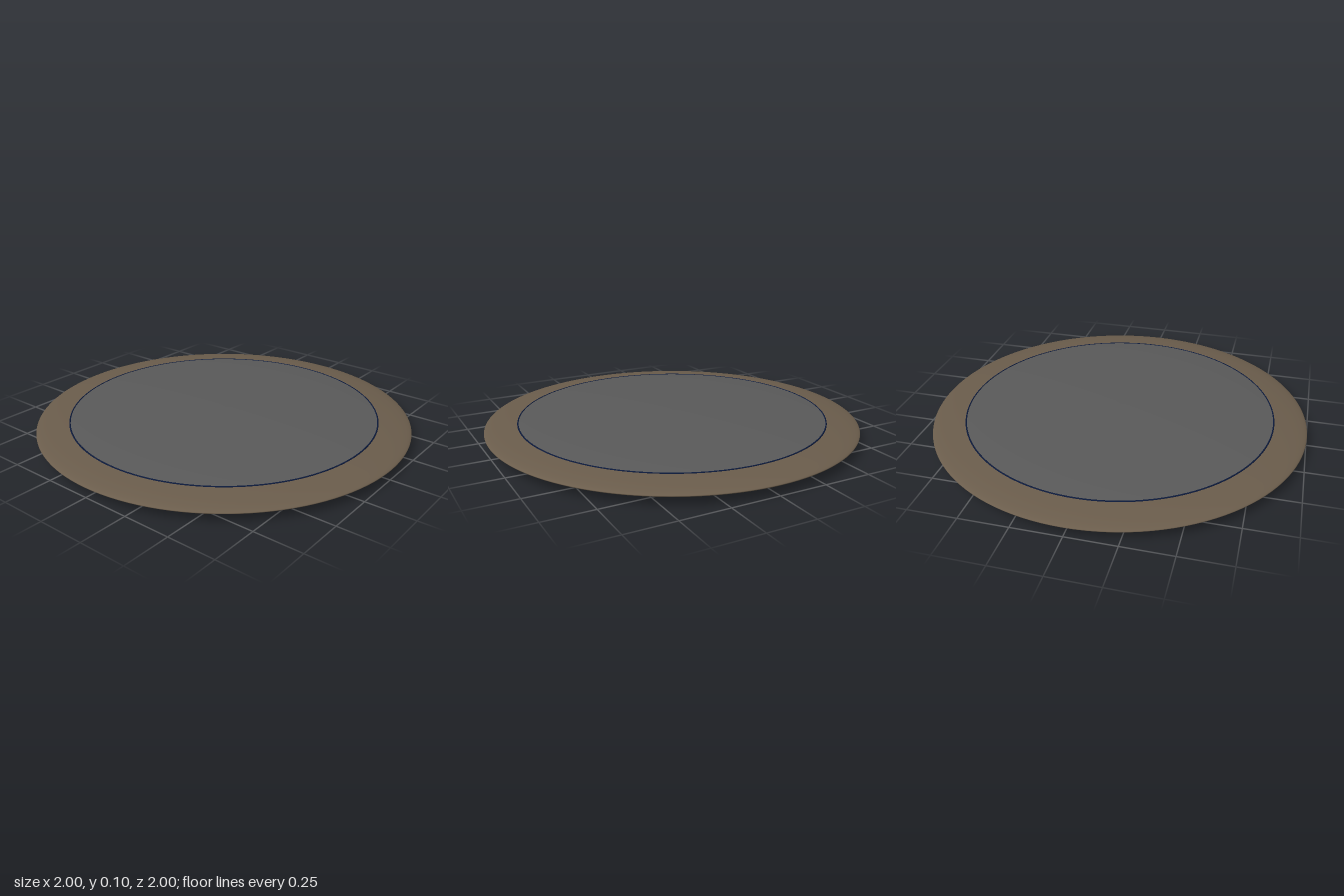
import * as THREE from 'three';

const MID = 0.052; // height of the sharp outer edge
const SEGMENTS = 128;

const mat = (color) => new THREE.MeshStandardMaterial({ color });
const rimMat = mat(0x6b5d4c);
const coverMat = mat(0x5a5a5a);
const seamMat = mat(0x0c1a3c);

// Lathed slice of a flattened ellipsoid between two elevation angles
function shell(name, halfHeight, from, to, steps, material) {
  const points = [];
  for (let i = 0; i <= steps; i++) {
    const a = from + (to - from) * (i / steps);
    points.push(new THREE.Vector2(Math.max(0, Math.cos(a)), MID + halfHeight * Math.sin(a)));
  }
  const mesh = new THREE.Mesh(new THREE.LatheGeometry(points, SEGMENTS), material);
  mesh.name = name;
  return mesh;
}

// Thin line where a cover meets the rim
function seam(name, angle, halfHeight) {
  const mesh = new THREE.Mesh(new THREE.TorusGeometry(Math.cos(angle), 0.004, 8, SEGMENTS), seamMat);
  mesh.name = name;
  mesh.rotation.x = Math.PI / 2;
  mesh.position.y = MID + halfHeight * Math.sin(angle);
  return mesh;
}

export function createModel() {
  const group = new THREE.Group();
  group.name = 'lensDisc';

  const half = 0.05; // rim half height
  const coverHalf = 0.052; // covers bulge slightly more
  const topAngle = Math.acos(0.825);
  const bottomAngle = -Math.acos(0.89);

  group.add(
    shell('rim', half, bottomAngle, topAngle, 32, rimMat),
    shell('topCover', coverHalf, topAngle, Math.PI / 2, 20, coverMat),
    shell('bottomCover', coverHalf, -Math.PI / 2, bottomAngle, 20, coverMat),
    seam('topSeam', topAngle, half),
    seam('bottomSeam', bottomAngle, half)
  );
  return group;
}
